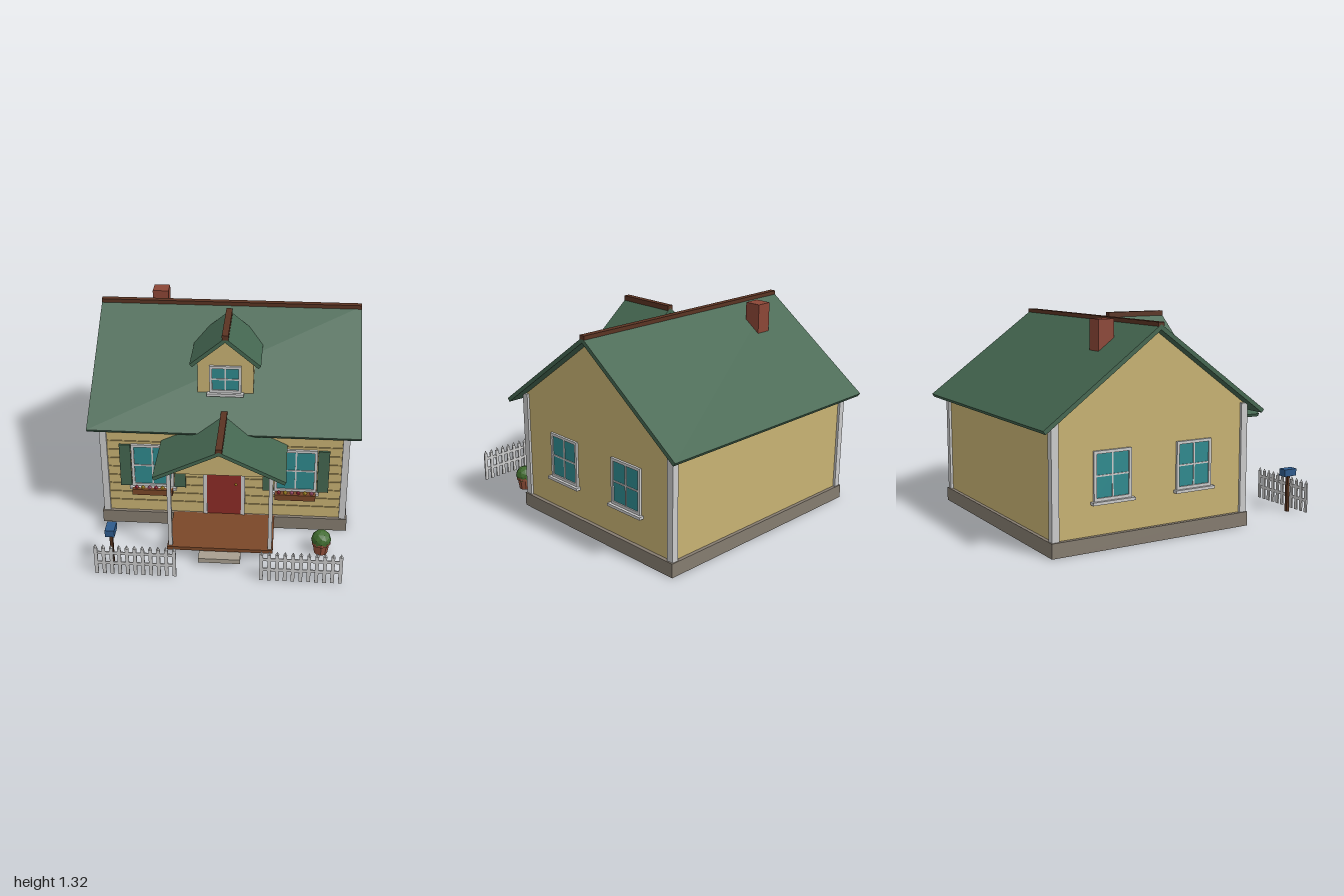
import * as THREE from 'three';

const mat = (color) => new THREE.MeshStandardMaterial({ color, flatShading: true });
const M = {
  wall: mat(0xc8b273), siding: mat(0xa8945c), roof: mat(0x446650), ridge: mat(0x5a3322),
  trim: mat(0xcccccc), glass: mat(0x2f8a8e), door: mat(0x8c2c26), wood: mat(0x7a4728),
  stone: mat(0x857c70), step: mat(0xa89f90), brick: mat(0x8c4636), blue: mat(0x2e5a8c),
  pot: mat(0x95523c), leaf: mat(0x3f6b2e), gold: mat(0xd9a520), post: mat(0x52301c),
  pink: mat(0xd86a92), red: mat(0xc03048), yellow: mat(0xe0b92c),
};

function add(parent, name, geometry, material, x = 0, y = 0, z = 0) {
  const mesh = new THREE.Mesh(geometry, material);
  mesh.name = name;
  mesh.position.set(x, y, z);
  parent.add(mesh);
  return mesh;
}

// Box given by its extents on each axis
const box = (parent, name, material, [x0, x1], [y0, y1], [z0, z1]) =>
  add(parent, name, new THREE.BoxGeometry(x1 - x0, y1 - y0, z1 - z0), material,
    (x0 + x1) / 2, (y0 + y1) / 2, (z0 + z1) / 2);

function group(parent, name, x = 0, y = 0, z = 0) {
  const g = new THREE.Group();
  g.name = name;
  g.position.set(x, y, z);
  parent.add(g);
  return g;
}

function prism(points, z0, z1) {
  const shape = new THREE.Shape(points.map(([x, y]) => new THREE.Vector2(x, y)));
  return new THREE.ExtrudeGeometry(shape, { depth: z1 - z0, bevelEnabled: false }).translate(0, 0, z0);
}

// Pitched roof: chevron slab with square-cut eaves, running along z
function gableRoof(half, top, eave, t, z0, z1) {
  const a = Math.atan2(top - eave, half);
  const ix = half - t * Math.sin(a), iy = eave - t * Math.cos(a);
  return prism([[0, top], [-half, eave], [-ix, iy], [0, top - t / Math.cos(a)], [ix, iy], [half, eave]], z0, z1);
}

// Wall body with a pointed gable, running along z
const gableWall = (half, y0, side, top, z0, z1) =>
  prism([[-half, y0], [half, y0], [half, side], [0, top], [-half, side]], z0, z1);

// Four-pane window facing +z, centred on its origin at the wall surface
function makeWindow(parent, name, w, h, x, y, z, turn = 0) {
  const g = group(parent, name, x, y, z);
  g.rotation.y = turn;
  const f = 0.018, W = w / 2, H = h / 2, d = [-0.005, 0.015];
  box(g, 'glass', M.glass, [-W + f, W - f], [-H + f, H - f], [-0.005, 0.007]);
  for (const s of [-1, 1]) {
    add(g, 'frameSide', new THREE.BoxGeometry(f, h, 0.02), M.trim, s * (W - f / 2), 0, 0.005);
    add(g, 'frameRail', new THREE.BoxGeometry(w - 2 * f, f, 0.02), M.trim, 0, s * (H - f / 2), 0.005);
  }
  box(g, 'mullion', M.trim, [-0.005, 0.005], [-H + f, H - f], [-0.005, 0.012]);
  box(g, 'crossBar', M.trim, [-W + f, W - f], [-0.005, 0.005], [-0.005, 0.012]);
  box(g, 'sill', M.trim, [-W - 0.016, W + 0.016], [-H - 0.018, -H], [d[0], 0.033]);
}

export function createModel() {
  const root = new THREE.Group();
  root.name = 'cottage';

  // Main body, running along x with its ridge at z = -0.235
  const house = group(root, 'house', 0, 0, -0.235);
  add(house, 'walls', gableWall(0.667, 0.09, 0.783, 1.265, -0.775, 0.775), M.wall).rotation.y = Math.PI / 2;
  add(house, 'mainRoof', gableRoof(0.762, 1.297, 0.745, 0.026, -0.853, 0.853), M.roof).rotation.y = Math.PI / 2;
  box(house, 'ridgeCap', M.ridge, [-0.853, 0.853], [1.285, 1.31], [-0.02, 0.02]);
  box(house, 'foundation', M.stone, [-0.8, 0.8], [0, 0.09], [-0.69, 0.69]);
  for (const sx of [-1, 1]) for (const sz of [-1, 1])
    add(house, 'cornerTrim', new THREE.BoxGeometry(0.043, 0.695, 0.046), M.trim, sx * 0.769, 0.437, sz * 0.66);
  box(root, 'chimney', M.brick, [-0.535, -0.43], [0.95, 1.316], [-0.47, -0.362]);

  // Clapboard lines on the front wall
  for (let i = 0; i < 9; i++) {
    const y = 0.68 - i * 0.064;
    box(root, 'sidingStrip', M.siding, [-0.75, 0.75], [y - 0.004, y + 0.004], [0.425, 0.437]);
  }

  // Side windows
  for (const s of [-1, 1]) for (const z of [0.05, -0.52])
    makeWindow(root, 'sideWindow', 0.252, 0.295, s * 0.775, 0.44, z, s * Math.PI / 2);

  // Front windows with shutters and flower boxes
  const flowers = [M.red, M.yellow, M.pink];
  for (const s of [-1, 1]) {
    const x = s * 0.459;
    makeWindow(root, 'frontWindow', 0.27, 0.31, x, 0.443, 0.432);
    for (const k of [-1, 1])
      add(root, 'shutter', new THREE.BoxGeometry(0.072, 0.305, 0.016), M.roof, x + k * 0.175, 0.441, 0.438);
    const g = group(root, 'flowerBox', x, 0, 0);
    box(g, 'planter', M.wood, [-0.13, 0.13], [0.247, 0.288], [0.432, 0.492]);
    for (let i = 0; i < 6; i++)
      add(g, 'flower', new THREE.IcosahedronGeometry(0.014, 0), flowers[i % 3], (i - 2.5) * 0.042, 0.294, 0.472);
  }

  // Front door
  const door = group(root, 'frontDoor');
  box(door, 'doorPanel', M.door, [-0.11, 0.11], [0.088, 0.575], [0.42, 0.44]);
  for (const s of [-1, 1])
    add(door, 'doorJamb', new THREE.BoxGeometry(0.025, 0.507, 0.025), M.trim, s * 0.1225, 0.3415, 0.435);
  box(door, 'doorHead', M.trim, [-0.11, 0.11], [0.573, 0.595], [0.4225, 0.4475]);
  add(door, 'doorKnob', new THREE.SphereGeometry(0.008, 8, 6), M.gold, 0.077, 0.323, 0.446);

  // Dormer
  const dormer = group(root, 'dormer');
  add(dormer, 'dormerWalls', gableWall(0.175, 0.86, 1.125, 1.275, -0.08, 0.295), M.wall);
  add(dormer, 'dormerRoof', gableRoof(0.222, 1.303, 1.118, 0.024, -0.095, 0.32), M.roof);
  box(dormer, 'dormerRidgeCap', M.ridge, [-0.02, 0.02], [1.288, 1.32], [-0.095, 0.32]);
  makeWindow(dormer, 'dormerWindow', 0.2, 0.185, 0, 1.012, 0.295);

  // Porch
  const porch = group(root, 'porch');
  box(porch, 'deck', M.wood, [-0.33, 0.33], [0.067, 0.09], [0.44, 0.815]);
  box(porch, 'step', M.step, [-0.13, 0.13], [0.03, 0.06], [0.8, 0.885]);
  add(porch, 'porchGable', prism([[-0.345, 0.625], [0.345, 0.625], [0, 0.797]], 0.78, 0.8), M.wall);
  add(porch, 'porchRoof', gableRoof(0.4, 0.82, 0.628, 0.022, 0.4, 0.857), M.roof);
  box(porch, 'porchRidgeCap', M.ridge, [-0.02, 0.02], [0.807, 0.838], [0.4, 0.857]);
  for (const s of [-1, 1])
    add(porch, 'porchPost', new THREE.BoxGeometry(0.025, 0.55, 0.025), M.trim, s * 0.31, 0.363, 0.79);

  // Picket fences either side of the path
  for (const s of [-1, 1]) {
    const fence = group(root, 'fence', s * 0.505, 0, 0.988);
    for (let i = -5; i <= 5; i++) {
      const x = i * 0.048;
      box(fence, 'picket', M.trim, [x - 0.011, x + 0.011], [0, 0.195], [-0.005, 0.005]);
      add(fence, 'picketTip', new THREE.ConeGeometry(0.012, 0.022, 4), M.trim, x, 0.206, 0);
    }
    for (const y of [0.08, 0.155])
      box(fence, 'fenceRail', M.trim, [-0.25, 0.25], [y - 0.01, y + 0.01], [-0.004, 0.003]);
  }

  // Mailbox
  const mailbox = group(root, 'mailbox', -0.66, 0, 0.9);
  box(mailbox, 'mailboxPost', M.post, [-0.01, 0.01], [0, 0.25], [-0.01, 0.01]);
  box(mailbox, 'mailboxBody', M.blue, [-0.029, 0.029], [0.244, 0.291], [-0.048, 0.048]);

  // Potted bush
  const plant = group(root, 'pottedBush', 0.632, 0, 0.685);
  add(plant, 'pot', new THREE.CylinderGeometry(0.055, 0.043, 0.075, 10), M.pot, 0, 0.0375, 0);
  add(plant, 'potRim', new THREE.CylinderGeometry(0.061, 0.061, 0.02, 10), M.pot, 0, 0.08, 0);
  add(plant, 'bush', new THREE.IcosahedronGeometry(0.063, 1), M.leaf, 0, 0.097, 0);

  return root;
}
